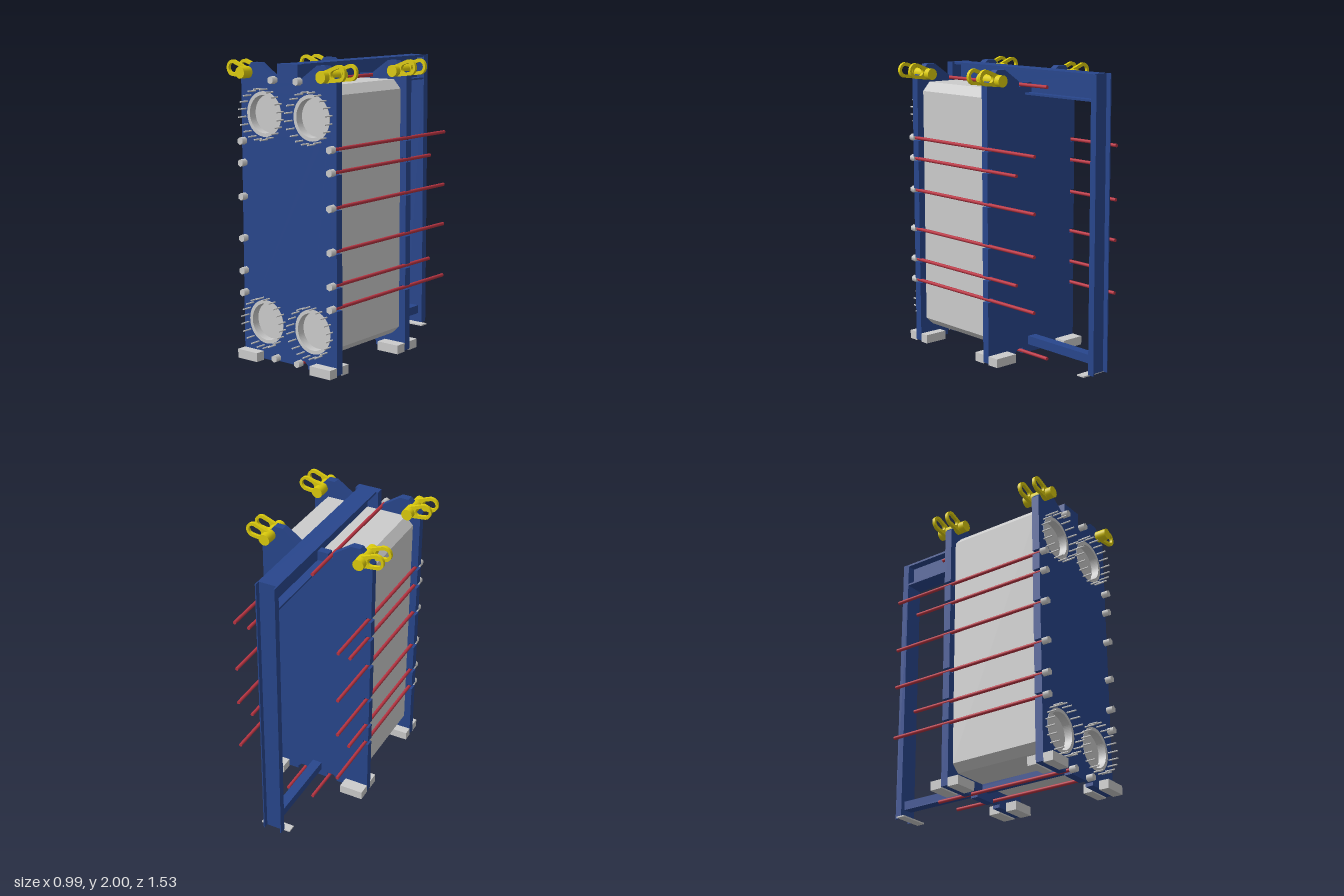
import * as THREE from 'three';

const mat = (color) => new THREE.MeshStandardMaterial({ color });
const GREY = mat(0xcccccc), BLUE = mat(0x28468c), RED = mat(0xb83442), YELLOW = mat(0xdccb0c);

export function createModel() {
  const model = new THREE.Group();

  const add = (name, geometry, material) => {
    const mesh = new THREE.Mesh(geometry, material);
    mesh.name = name;
    model.add(mesh);
    return mesh;
  };
  // box given by its limits on each axis
  const box = (name, x0, x1, y0, y1, z0, z1, material) =>
    add(name, new THREE.BoxGeometry(Math.abs(x1 - x0), y1 - y0, z1 - z0), material)
      .position.set((x0 + x1) / 2, (y0 + y1) / 2, (z0 + z1) / 2);
  // cylinder lying along z
  const rod = (name, x, y, z0, z1, r, sides, material) =>
    add(name, new THREE.CylinderGeometry(r, r, z1 - z0, sides).rotateX(Math.PI / 2), material)
      .position.set(x, y, (z0 + z1) / 2);
  const extrude = (shape, z0, z1) =>
    new THREE.ExtrudeGeometry(shape, { depth: z1 - z0, bevelEnabled: false, curveSegments: 20 }).translate(0, 0, z0);
  // closed outline from its right half, listed bottom to top
  const mirrored = (half) => new THREE.Shape([
    ...half, ...half.map(([x, y]) => [-x, y]).reverse(),
  ].map(([x, y]) => new THREE.Vector2(x, y)));

  // side tie rods: height and rear end
  const sideRods = [[0.45, -0.53], [0.6, -0.36], [0.82, -0.53], [1.1, -0.53], [1.325, -0.36], [1.47, -0.53]];
  const ports = [];
  for (const x of [-0.2, 0.2]) for (const y of [0.27, 1.655]) ports.push([x, y]);

  // end plate outline with slots for the tie rods and a central tab
  const plateShape = (tabTop) => {
    const half = [[0.085, 0.02], [0.085, 0.06], [0.13, 0.06], [0.155, 0.035], [0.155, 0.012], [0.4, 0.012]];
    for (const [y] of sideRods) half.push([0.4, y - 0.015], [0.362, y - 0.015], [0.362, y + 0.015], [0.4, y + 0.015]);
    half.push([0.4, 1.89], [0.31, 1.985], [0.245, 1.985], [0.12, 1.9], [0.12, 1.865], [0.085, 1.865], [0.085, tabTop]);
    return mirrored(half);
  };

  // front frame plate, open at the ports
  const frontShape = plateShape(1.985);
  for (const [x, y] of ports) frontShape.holes.push(new THREE.Path().absarc(x, y, 0.147, 0, Math.PI * 2, true));
  add('frontPlate', extrude(frontShape, 0.63, 0.685), BLUE);
  // movable pressure plate
  add('pressurePlate', extrude(plateShape(1.89), -0.103, -0.05), BLUE);

  // plate pack with chamfered corners
  add('platePack', extrude(mirrored([[0.295, 0.12], [0.35, 0.172], [0.35, 1.8], [0.295, 1.86]]), -0.05, 0.63), GREY);

  // port liners and their studs
  for (const [x, y] of ports) {
    const ring = new THREE.Shape().absarc(0, 0, 0.148, 0, Math.PI * 2, false);
    ring.holes.push(new THREE.Path().absarc(0, 0, 0.124, 0, Math.PI * 2, true));
    const liner = new THREE.ExtrudeGeometry(ring, { depth: 0.057, bevelEnabled: false, curveSegments: 40 });
    add('portLiner', liner, GREY).position.set(x, y, 0.631);
    rod('portFloor', x, y, 0.626, 0.633, 0.13, 40, GREY);
    for (let i = 0; i < 20; i++) {
      const a = (i + 0.5) * Math.PI / 10;
      rod('portStud', x + 0.165 * Math.cos(a), y + 0.165 * Math.sin(a), 0.68, 0.755, 0.0055, 8, GREY);
    }
  }

  // top carrying beam, an I section
  box('beamTopFlange', -0.067, 0.067, 1.97, 1.985, -0.722, 0.632, BLUE);
  box('beamBottomFlange', -0.067, 0.067, 1.81, 1.823, -0.722, 0.632, BLUE);
  box('beamWeb', -0.008, 0.008, 1.82, 1.972, -0.722, 0.632, BLUE);

  // bottom guide bar
  box('guideBar', -0.035, 0.035, 0.075, 0.135, -0.722, 0.632, BLUE);

  // rear support column, a channel open to the back
  box('columnWeb', -0.067, 0.067, 0.01, 1.985, -0.73, -0.718, BLUE);
  for (const s of [-1, 1]) box('columnFlange', s * 0.06, s * 0.068, 0.01, 1.985, -0.766, -0.718, BLUE);
  box('columnFoot', -0.11, 0.11, 0, 0.01, -0.72, -0.66, GREY);

  // tie rods with hexagonal nuts
  const tieRod = (x, y, end) => {
    rod('tieRod', x, y, end, 0.69, 0.012, 14, RED);
    rod('tieRodNut', x, y, 0.685, 0.732, 0.025, 6, GREY);
  };
  for (const s of [-1, 1]) {
    for (const [y, end] of sideRods) tieRod(s * 0.376, y, end);
    tieRod(s * 0.106, 1.88, -0.36);
    tieRod(s * 0.098, 0.043, -0.36);
  }

  // feet on both faces of each plate
  for (const s of [-1, 1]) {
    for (const [z0, z1] of [[0.685, 0.755], [0.567, 0.63], [-0.05, 0.033], [-0.19, -0.103]])
      box('foot', s * 0.23, s * 0.4, 0.003, 0.064, z0, z1, GREY);
  }

  // lifting pins and shackle links at the upper corners
  const link = new THREE.Shape();
  link.absarc(0.1, 0, 0.053, -Math.PI / 2, Math.PI / 2, false);
  link.absarc(0, 0, 0.04, Math.PI / 2, Math.PI * 1.5, false);
  const eye = new THREE.Path();
  eye.absarc(0.105, 0, 0.03, Math.PI / 2, -Math.PI / 2, true);
  eye.absarc(0.065, 0, 0.026, -Math.PI / 2, -Math.PI * 1.5, true);
  link.holes.push(eye);
  for (const s of [-1, 1]) {
    for (const [z0, z1] of [[0.54, 0.765], [-0.19, 0.033]]) {
      rod('liftingPin', s * 0.338, 1.92, z0, z1, 0.039, 24, YELLOW);
      for (const z of [z0 + 0.055, z1 - 0.055]) {
        const mesh = add('liftingLink', extrude(link, -0.011, 0.011), YELLOW);
        mesh.position.set(s * 0.345, 1.921, z);
        mesh.rotation.set(0, s < 0 ? Math.PI : 0, 0.24);
      }
    }
  }

  return model;
}
